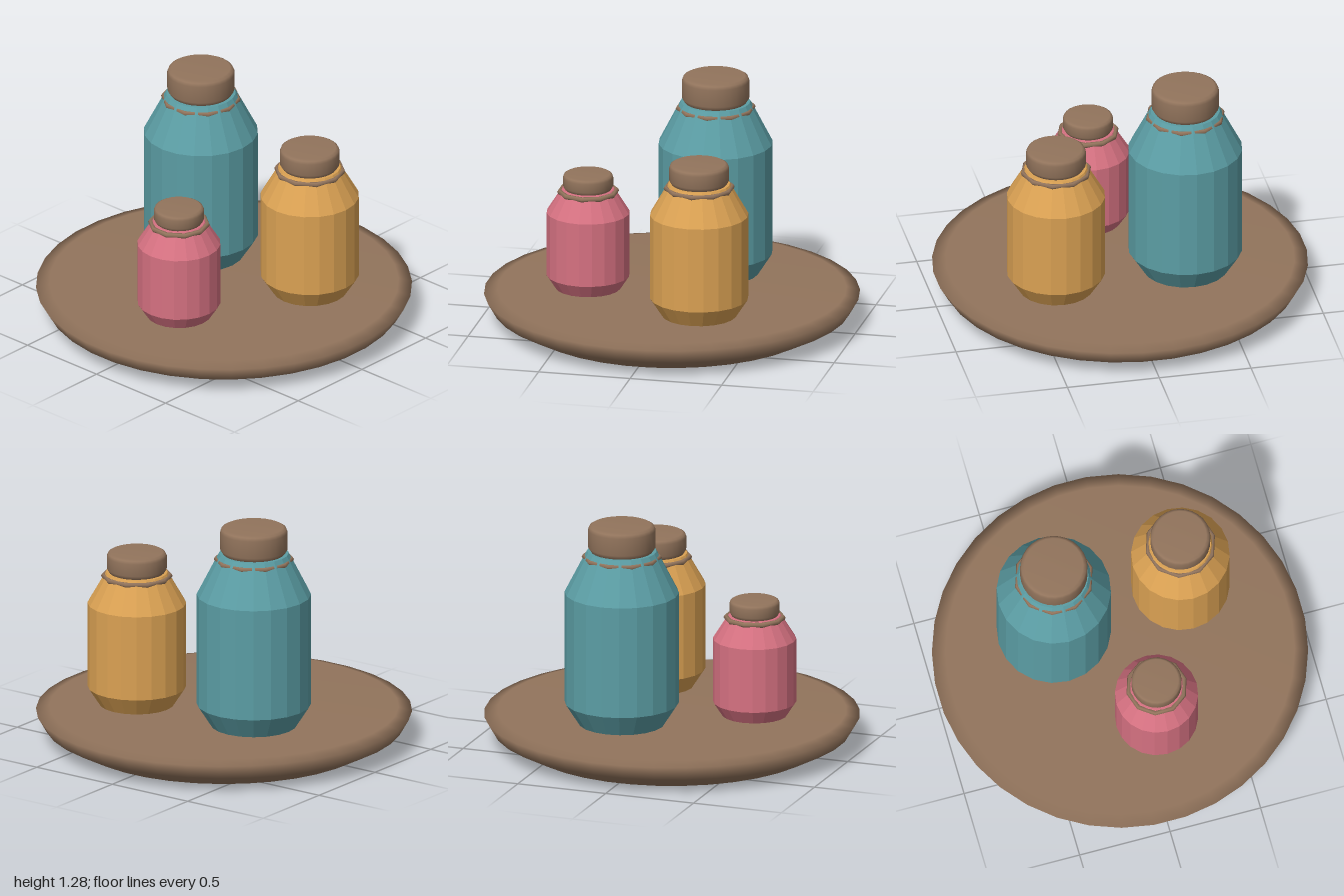
import * as THREE from 'three';

const wood = new THREE.MeshStandardMaterial({ name: 'brown wood', color: 0x92745c });
const glass = (name, color) => new THREE.MeshStandardMaterial({ name, color, flatShading: true });
const teal = glass('teal glaze', 0x5b9da4);
const ochre = glass('ochre glaze', 0xdaa153);
const rose = glass('rose glaze', 0xd57181);

// Revolve a bottom-to-top list of [radius, height] pairs
function turned(name, profile, sides, material, start = 0) {
  const points = profile.map(([r, y]) => new THREE.Vector2(r, y));
  const mesh = new THREE.Mesh(new THREE.LatheGeometry(points, sides, start), material);
  mesh.name = name;
  return mesh;
}

// Faceted jar with a neck cord and a rounded stopper
function jar(name, material, o) {
  const group = new THREE.Group();
  group.name = name;
  group.position.set(o.x, 0, o.z);

  group.add(turned(name + 'Body', [
    [0, 0.175], [o.foot, 0.175], [o.r, o.low], [o.r, o.high],
    [o.neck, o.cord], [o.cap * 1.03, o.capY], [0, o.capY],
  ], 20, material));

  const cord = new THREE.Mesh(new THREE.TorusGeometry(o.cordR, 0.014, 6, 10), wood);
  cord.name = name + 'Cord';
  cord.rotation.x = Math.PI / 2;
  cord.position.y = o.cord;
  group.add(cord);

  const b = o.cap * 0.1;
  group.add(turned(name + 'Stopper', [
    [0, o.capY - 0.005], [o.cap - b, o.capY - 0.005], [o.cap, o.capY + b * 1.3],
    [o.cap, o.top - b * 1.5], [o.cap - b * 0.4, o.top - b * 0.5],
    [o.cap - b * 1.3, o.top], [0, o.top],
  ], 28, wood));
  return group;
}

export function createModel() {
  const model = new THREE.Group();
  model.name = 'jarsOnTray';

  // Round tray with a bevelled underside and softened rim
  model.add(turned('tray', [
    [0, 0], [0.8, 0], [0.955, 0.08], [1.002, 0.162], [0.93, 0.182], [0, 0.182],
  ], 36, wood, Math.PI / 36));

  model.add(jar('tallJar', teal, {
    x: -0.32, z: -0.165, r: 0.305, foot: 0.225, low: 0.3, high: 0.91,
    neck: 0.205, cord: 1.105, cordR: 0.2, cap: 0.18, capY: 1.14, top: 1.285,
  }));
  model.add(jar('mediumJar', ochre, {
    x: 0.4, z: -0.24, r: 0.263, foot: 0.195, low: 0.28, high: 0.745,
    neck: 0.177, cord: 0.895, cordR: 0.177, cap: 0.16, capY: 0.918, top: 1.03,
  }));
  model.add(jar('smallJar', rose, {
    x: 0.08, z: 0.44, r: 0.222, foot: 0.17, low: 0.255, high: 0.605,
    neck: 0.15, cord: 0.72, cordR: 0.152, cap: 0.134, capY: 0.735, top: 0.82,
  }));
  return model;
}
